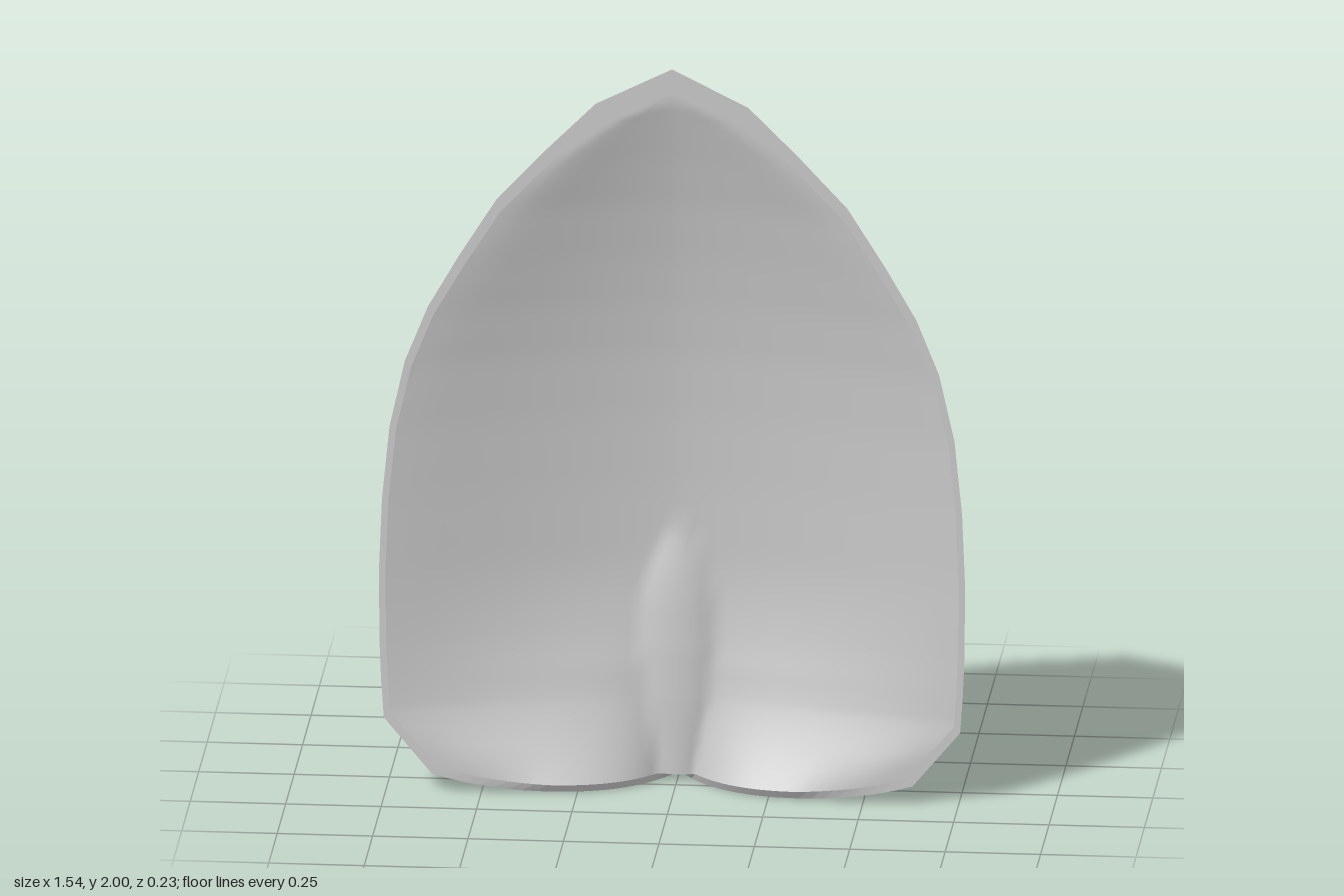
import * as THREE from 'three';

// Blade stations from base to tip: height, half width, spine depth
const stations = [
  [0, 0.63, -0.117], [0.2, 0.755, -0.1], [0.3, 0.762, -0.087], [0.4, 0.766, -0.085], [0.6, 0.768, -0.083],
  [0.8, 0.76, -0.077], [1, 0.74, -0.066], [1.18, 0.7, -0.051], [1.33, 0.64, -0.032],
  [1.47, 0.56, -0.01], [1.63, 0.46, 0.02], [1.77, 0.33, 0.052], [1.9, 0.2, 0.085], [2, 0, 0.112],
];
// Raised socket on the inside: height, half width, front depth
const socket = [
  [0, 0.085, -0.02], [0.2, 0.12, -0.02], [0.35, 0.118, -0.025], [0.5, 0.1, -0.035],
  [0.6, 0.075, -0.048], [0.7, 0.03, -0.068],
];
const RIM_Z = 0.112, SUB = 4, HALF = 24;
const ROWS = (stations.length - 1) * SUB, COLS = HALF * 2;

// Linear lookup of [width, depth] in a station table
function lookup(table, y) {
  let i = 1;
  while (i < table.length - 1 && table[i][0] < y) i++;
  const [a, b] = [table[i - 1], table[i]];
  const f = (y - a[0]) / (b[0] - a[0]);
  return [a[1] + (b[1] - a[1]) * f, a[2] + (b[2] - a[2]) * f];
}

// Point on the outer (back) or inner (front) skin
function skinPoint(i, j, inner) {
  const k = Math.min(Math.floor(i / SUB), stations.length - 2);
  const y = THREE.MathUtils.lerp(stations[k][0], stations[k + 1][0], i / SUB - k);
  const [w, spine] = lookup(stations, y);
  const q = (j - HALF) / HALF, t = Math.pow(Math.abs(q), 1.6);
  const x = Math.sign(q) * t * w;
  // gentle dish above, tight ridge fold toward the base
  const fold = Math.pow(Math.max(0, 1 - y / 0.6), 2);
  const ridge = (1 - Math.exp(-Math.abs(x) / 0.125)) / (1 - Math.exp(-w / 0.125 - 1e-6));
  const p = t === 1 ? 1 : THREE.MathUtils.lerp(Math.pow(t, 1.7), ridge, fold);
  let z = spine + (RIM_Z - spine) * p;
  const lift = 0.05 * Math.pow(t, 4) * Math.max(0, 1 - y / 0.2);
  if (!inner) return [x, y + lift, z];

  z = Math.min(RIM_Z, z + 0.014 * (1 - Math.pow(t, 8)));
  if (y < 0.7) {
    const [sw, front] = lookup(socket, y);
    const r = Math.abs(x) / sw;
    if (r < 1) z = Math.max(z, -0.08 + (front + 0.08) * Math.sqrt(1 - r * r));
  }
  return [x * 0.978, 0.022 + (y + lift) * 0.966, z];
}

// Smooth grid surface for one side of the blade
function skin(inner) {
  const pos = [], idx = [], n = COLS + 1;
  for (let i = 0; i <= ROWS; i++)
    for (let j = 0; j <= COLS; j++) pos.push(...skinPoint(i, j, inner));
  for (let i = 0; i < ROWS; i++)
    for (let j = 0; j < COLS; j++) {
      const a = i * n + j, b = a + 1, c = b + n, d = a + n;
      if (inner) idx.push(a, b, c, a, c, d);
      else idx.push(a, c, b, a, d, c);
    }
  const g = new THREE.BufferGeometry();
  g.setAttribute('position', new THREE.Float32BufferAttribute(pos, 3));
  g.setIndex(idx);
  g.computeVertexNormals();
  return g;
}

// Narrow faceted strip joining the two skins around the outline
function rimStrip() {
  const loop = [];
  for (let j = 0; j < COLS; j++) loop.push([0, j]);
  for (let i = 0; i < ROWS; i++) loop.push([i, COLS]);
  for (let i = ROWS; i > 0; i--) loop.push([i, 0]);
  const pos = [];
  loop.forEach((e, k) => {
    const f = loop[(k + 1) % loop.length];
    const o0 = skinPoint(...e, false), o1 = skinPoint(...f, false);
    const n0 = skinPoint(...e, true), n1 = skinPoint(...f, true);
    pos.push(...o0, ...o1, ...n1, ...o0, ...n1, ...n0);
  });
  const g = new THREE.BufferGeometry();
  g.setAttribute('position', new THREE.Float32BufferAttribute(pos, 3));
  g.computeVertexNormals();
  return g;
}

export function createModel() {
  const group = new THREE.Group();
  group.name = 'spadeBlade';
  const material = new THREE.MeshStandardMaterial({ color: 0xcccccc, side: THREE.DoubleSide });
  const add = (name, geometry) => {
    const mesh = new THREE.Mesh(geometry, material);
    mesh.name = name;
    group.add(mesh);
  };
  add('bladeBack', skin(false));
  add('bladeFrontWithSocket', skin(true));
  add('bladeRim', rimStrip());
  return group;
}
